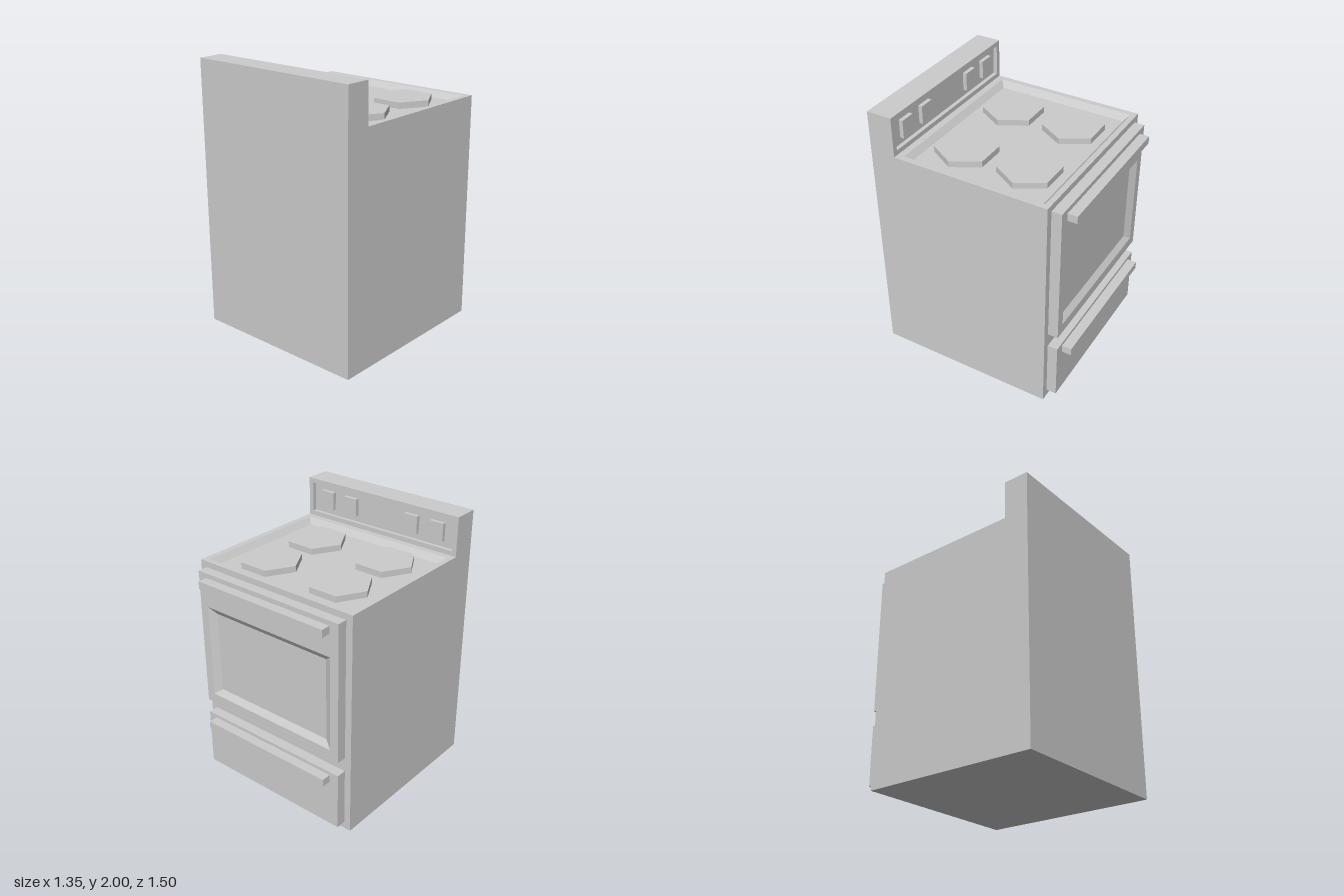
import * as THREE from 'three';

const material = new THREE.MeshStandardMaterial({ color: 0xcccccc, flatShading: true });

// Slab facing +z with a recess: rectangles [x0, x1, y0, y1, z] joined from back to recess floor.
function recessedSlab(rects) {
  const rings = rects.map(([x0, x1, y0, y1, z]) => [[x0, y0, z], [x1, y0, z], [x1, y1, z], [x0, y1, z]]);
  const pos = [];
  const quad = (a, b, c, d) => pos.push(...a, ...b, ...c, ...a, ...c, ...d);
  for (let r = 0; r < rings.length - 1; r++) {
    const p = rings[r], q = rings[r + 1];
    for (let i = 0; i < 4; i++) {
      const j = (i + 1) % 4;
      quad(p[i], p[j], q[j], q[i]);
    }
  }
  quad(...[...rings[0]].reverse());
  quad(...rings[rings.length - 1]);
  const geo = new THREE.BufferGeometry();
  geo.setAttribute('position', new THREE.Float32BufferAttribute(pos, 3));
  geo.computeVertexNormals();
  return geo;
}

export function createModel() {
  const group = new THREE.Group();
  const add = (name, geo, x = 0, y = 0, z = 0) => {
    const mesh = new THREE.Mesh(geo, material);
    mesh.name = name;
    mesh.position.set(x, y, z);
    group.add(mesh);
    return mesh;
  };
  const W = 0.673, TOP = 1.705, FLOOR = 1.66;

  // Cabinet with a sloped cooktop tray sunk into its top
  add('cabinet', recessedSlab([
    [-W, W, -0.75, 0.6, 0],
    [-W, W, -0.75, 0.6, TOP],
    [-0.63, 0.63, -0.51, 0.56, TOP],
    [-0.592, 0.592, -0.475, 0.52, FLOOR],
  ])).rotation.x = -Math.PI / 2;

  // Four hexagonal burners
  const burner = new THREE.CylinderGeometry(0.222, 0.222, TOP - FLOOR, 6).rotateY(Math.PI / 2);
  for (const x of [-0.31, 0.31]) {
    for (const z of [-0.268, 0.222]) add('burner', burner, x, (TOP + FLOOR) / 2, z);
  }

  // Upright control panel with a shallow recess
  add('controlPanel', recessedSlab([
    [-W, W, TOP, 2, 0],
    [-W, W, TOP, 2, 0.19],
    [-0.637, 0.637, 1.74, 1.965, 0.19],
    [-0.637, 0.637, 1.74, 1.965, 0.16],
  ]), 0, 0, 0.75).rotation.y = Math.PI;

  // Square knobs
  for (const x of [-0.495, -0.275, 0.275, 0.495]) {
    add('knob', new THREE.BoxGeometry(0.115, 0.135, 0.03), x, 1.855, 0.575);
  }

  // Oven door with a bevelled window
  add('ovenDoor', recessedSlab([
    [-0.622, 0.622, 0.61, 1.66, 0],
    [-0.622, 0.622, 0.61, 1.66, 0.075],
    [-0.555, 0.555, 0.685, 1.4, 0.075],
    [-0.495, 0.495, 0.732, 1.353, 0.043],
  ]), 0, 0, -0.6).rotation.y = Math.PI;

  // Storage drawer
  add('drawer', new THREE.BoxGeometry(1.244, 0.445, 0.075), 0, 0.2775, -0.6375);

  // Bar handles
  for (const [name, y] of [['ovenHandle', 1.597], ['drawerHandle', 0.447]]) {
    add(name, new THREE.BoxGeometry(1.1, 0.057, 0.072), 0, y, -0.711);
  }

  return group;
}
